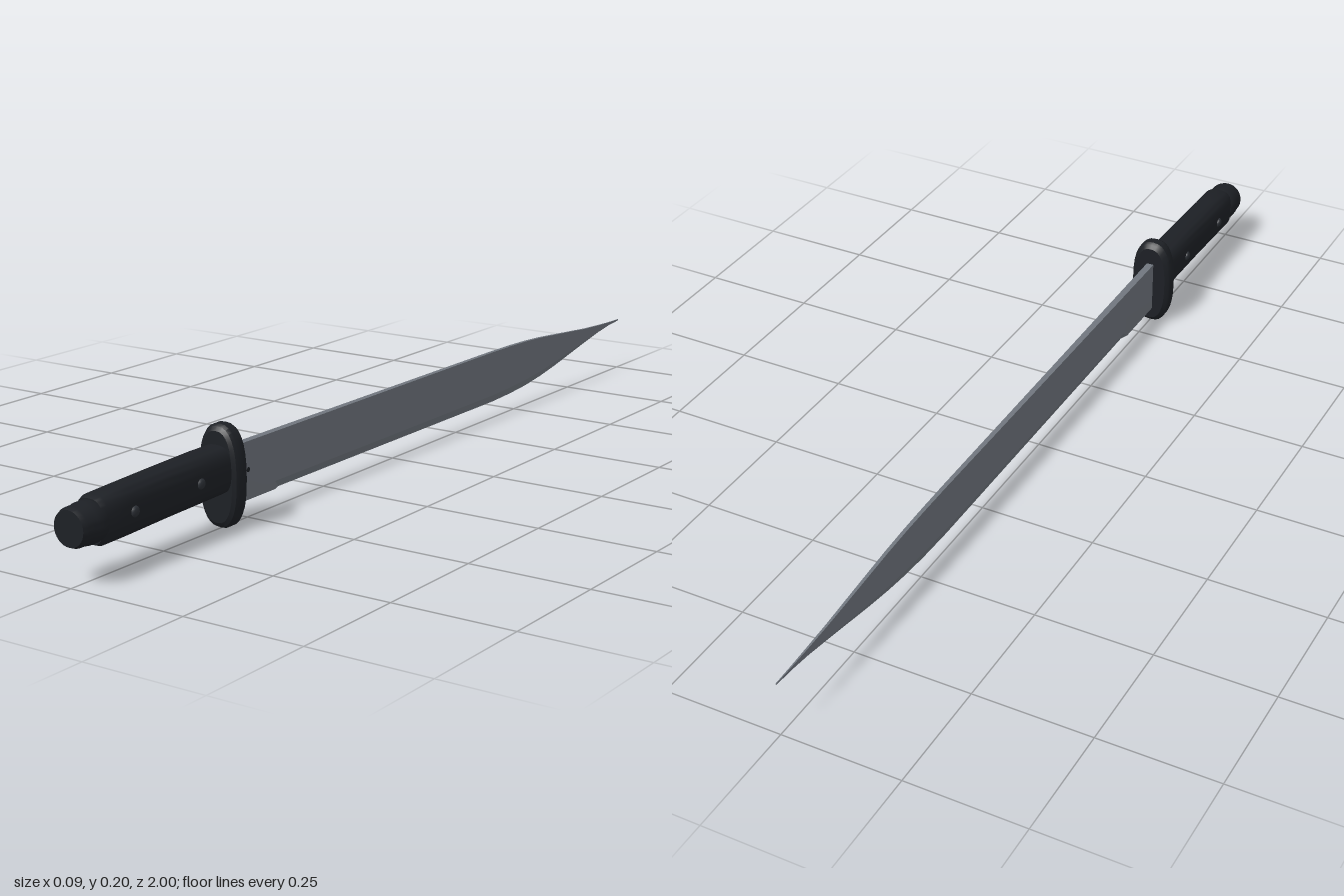
import * as THREE from 'three';
import { toCreasedNormals } from 'three/addons/utils/BufferGeometryUtils.js';

const material = (color) => new THREE.MeshStandardMaterial({ color });

// Skin a list of equal-length rings (counter-clockwise seen from +z, ordered by rising z).
function loft(rings, crease = 0.6) {
  const n = rings[0].length, pos = [], index = [];
  rings.forEach((r) => r.forEach((p) => pos.push(...p)));
  for (let i = 0; i < rings.length - 1; i++) {
    for (let j = 0; j < n; j++) {
      const a = i * n + j, b = i * n + (j + 1) % n;
      index.push(a, b, b + n, a, b + n, a + n);
    }
  }
  const last = (rings.length - 1) * n;
  for (let j = 1; j < n - 1; j++) {
    index.push(0, j + 1, j, last, last + j, last + j + 1);
  }
  const g = new THREE.BufferGeometry();
  g.setAttribute('position', new THREE.Float32BufferAttribute(pos, 3));
  g.setIndex(index);
  return toCreasedNormals(g, crease);
}

// Rounded oval ring: power 2 is an ellipse, higher is boxier.
function oval([z, cy, hx, hy, power = 2], n = 32) {
  const soft = (v) => Math.sign(v) * Math.abs(v) ** (2 / power);
  return Array.from({ length: n }, (_, i) => {
    const t = (i / n) * Math.PI * 2;
    return [hx * soft(Math.cos(t)), cy + hy * soft(Math.sin(t)), z];
  });
}

// Blade section: flat spine, flat cheeks, ground lower edge.
function bladeRing([z, bottom, top, w, edge]) {
  const grind = bottom + (top - bottom) * 0.14;
  return [[w, top, z], [-w, top, z], [-w, grind, z],
    [-edge, bottom, z], [edge, bottom, z], [w, grind, z]];
}

export function createModel() {
  const group = new THREE.Group();
  const steel = material(0x70767e), black = material(0x1d2025), rivetGrey = material(0x2c3036);
  const add = (name, geometry, mat, parent = group) => {
    const mesh = new THREE.Mesh(geometry, mat);
    mesh.name = name;
    parent.add(mesh);
    return mesh;
  };

  // Blade: z, bottom, top, half thickness, half edge thickness
  add('blade', loft([
    [-1, 0.121, 0.124, 0.0008, 0.0003],
    [-0.95, 0.117, 0.125, 0.0014, 0.0003],
    [-0.9, 0.110, 0.127, 0.002, 0.0003],
    [-0.83, 0.097, 0.131, 0.0025, 0.0003],
    [-0.76, 0.083, 0.137, 0.003, 0.0003],
    [-0.69, 0.069, 0.143, 0.0034, 0.0003],
    [-0.62, 0.057, 0.149, 0.0037, 0.0003],
    [-0.55, 0.048, 0.153, 0.004, 0.0003],
    [-0.48, 0.043, 0.155, 0.0043, 0.0003],
    [-0.4, 0.040, 0.156, 0.0046, 0.0003],
    [0, 0.040, 0.156, 0.006, 0.0003],
    [0.4, 0.040, 0.156, 0.0075, 0.0003],
    [0.42, 0.040, 0.156, 0.0076, 0.0074],
    [0.57, 0.040, 0.156, 0.008, 0.0078],
  ].map(bladeRing), 0.1), steel);

  // Two small pits on the left face beside the guard
  for (const z of [0.505, 0.53]) {
    const pit = add('bladePit', new THREE.CylinderGeometry(0.005, 0.005, 0.001, 12), black);
    pit.rotation.z = Math.PI / 2;
    pit.position.set(0.0079, 0.1, z);
  }

  // Oval guard with bevelled rims
  add('guard', loft([
    [0.55, 0.1045, 0.037, 0.09, 2.5],
    [0.556, 0.1045, 0.044, 0.098, 2.5],
    [0.562, 0.1045, 0.047, 0.102, 2.5],
    [0.58, 0.1045, 0.047, 0.102, 2.5],
    [0.587, 0.1045, 0.044, 0.098, 2.5],
    [0.592, 0.1045, 0.037, 0.09, 2.5],
  ].map((r) => oval(r)), 0.5), black);

  // Grip, dropping slightly toward the pommel
  add('grip', loft([
    [0.585, 0.121, 0.036, 0.047, 2.8],
    [0.65, 0.120, 0.036, 0.048, 2.8],
    [0.76, 0.117, 0.035, 0.048, 2.8],
    [0.87, 0.113, 0.035, 0.048, 2.8],
    [0.935, 0.111, 0.036, 0.047, 2.8],
    [0.947, 0.111, 0.032, 0.042, 2.8],
  ].map((r) => oval(r))), black);

  // Round pommel with a raised collar
  add('pommel', loft([
    [0.935, 0.111, 0.037, 0.037],
    [0.942, 0.111, 0.040, 0.040],
    [0.965, 0.111, 0.040, 0.040],
    [0.972, 0.111, 0.038, 0.038],
    [0.99, 0.111, 0.038, 0.038],
    [1, 0.111, 0.034, 0.034],
  ].map((r) => oval(r)), 0.5), black);

  // Grip rivets, through both sides
  for (const [z, y] of [[0.68, 0.119], [0.865, 0.114]]) {
    const profile = [[0, -0.04], [0.007, -0.0395], [0.0105, -0.036], [0.0105, 0.036], [0.007, 0.0395], [0, 0.04]];
    const rivet = add('rivet', new THREE.LatheGeometry(profile.map((p) => new THREE.Vector2(...p)), 20), rivetGrey);
    rivet.rotation.z = Math.PI / 2;
    rivet.position.set(0, y, z);
  }

  return group;
}
